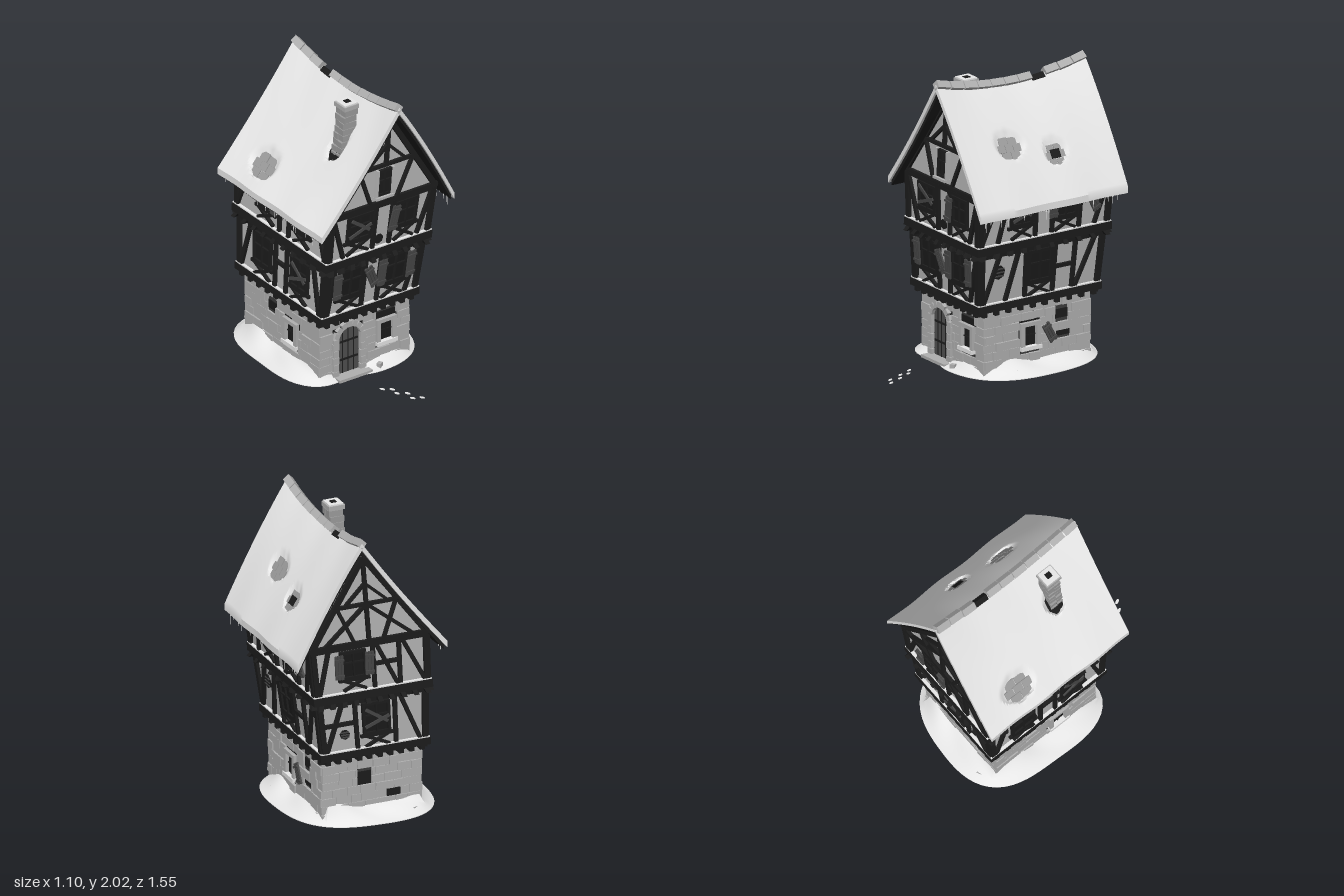
import * as THREE from 'three';
import { mergeGeometries, toCreasedNormals } from 'three/addons/utils/BufferGeometryUtils.js';

const mat = (name, color) => Object.assign(new THREE.MeshStandardMaterial({ color }), { name });
const M = {
  snow: mat('snow', 0xe9e9e9), plaster: mat('plaster', 0xb7b7b7), stone: mat('stone', 0xb0b0b0),
  timber: mat('timber', 0x1d1d1d), wood: mat('weathered wood', 0x484848), door: mat('door wood', 0x515151),
  dark: mat('dark opening', 0x1b1b1b), mortar: mat('mortar', 0x3c3c3c), tile: mat('roof tile', 0x9c9c9c),
};
let seed = 7;
const rnd = (a = 0, b = 1) => { seed = (seed * 16807) % 2147483647; return a + (b - a) * seed / 2147483647; };
const box = (w, h, d) => new THREE.BoxGeometry(w, h, d);
const ZC = -0.2, XC = -0.03;
const FLOORS = [{ hx: 0.341, hz: 0.402 }, { hx: 0.362, hz: 0.457 }, { hx: 0.395, hz: 0.498 }];
const SIDES = { front: 0, right: Math.PI / 2, back: Math.PI, left: -Math.PI / 2 };

// The upper storeys lean to one side and flare outwards
function warp(g) {
  const p = g.attributes.position;
  for (let i = 0; i < p.count; i++) {
    const y = p.getY(i), lean = Math.max(0, y - 0.5);
    let k = 1;
    if (y > 0.5 && y < 0.866) k += 0.05 * lean / 0.366;
    else if (y > 0.93) k += 0.03 * Math.min(1, (y - 0.93) / 0.32);
    p.setX(i, p.getX(i) * k + XC + 0.08 * lean);
    p.setZ(i, ZC + (p.getZ(i) - ZC) * k + 0.02 * Math.min(lean, 0.75));
  }
}

// Closed cross-sections joined in order
function loft(rings, flip, caps) {
  const m = rings[0].length, n = rings.length, idx = [];
  const tri = (a, b, c) => (flip ? idx.push(a, c, b) : idx.push(a, b, c));
  for (let i = 0; i < n - 1; i++) for (let j = 0; j < m; j++) {
    const a = i * m + j, b = i * m + (j + 1) % m, c = a + m, d = b + m;
    tri(a, c, b); tri(b, c, d);
  }
  if (caps) for (let j = 0; j < m / 2 - 1; j++) for (const o of [0, (n - 1) * m]) {
    const T = o + j, T2 = T + 1, B = o + m - 1 - j, B2 = B - 1;
    if (o) { tri(B, B2, T2); tri(B, T2, T); } else { tri(B, T2, B2); tri(B, T, T2); }
  }
  const g = new THREE.BufferGeometry();
  g.setAttribute('position', new THREE.Float32BufferAttribute(rings.flat(2), 3));
  g.setIndex(idx);
  return g;
}

export function createModel() {
  const parts = new Map();
  const put = (name, m, geo, bend = true) => {
    let g = geo.index ? geo.toNonIndexed() : geo;
    g.deleteAttribute('uv');
    if (bend) warp(g);
    g = toCreasedNormals(g, 0.5);
    if (!parts.has(name)) parts.set(name, { m, list: [] });
    parts.get(name).list.push(g);
  };
  // Places a piece on a wall: u along it, v up, d outwards
  const on = (name, m, geo, f, side, u, v, d, rot = 0) => {
    const dist = side === 'front' || side === 'back' ? FLOORS[f].hz : FLOORS[f].hx;
    geo.rotateZ(rot).translate(u, v, dist + d).rotateY(SIDES[side]).translate(0, 0, ZC);
    put(name, m, geo);
  };
  const beam = (f, side, u1, v1, u2, v2, w = 0.026) =>
    on('timberFrame', M.timber, box(w, Math.hypot(u2 - u1, v2 - v1), 0.026), f, side,
      (u1 + u2) / 2, (v1 + v2) / 2, 0.008, -Math.atan2(u2 - u1, v2 - v1));
  const shutter = (f, side, u, v, h = 0.18, rot = 0, w = 0.06) => {
    const c = Math.cos(rot), s = Math.sin(rot);
    for (const k of [-1, 0, 1]) on('shutters', M.wood, box(w / 3 - 0.003, h * rnd(0.93, 1.03), 0.012), f, side, u + k * w / 3 * c, v + k * w / 3 * s, 0.03, rot);
    for (const k of [-1, 1]) on('shutters', M.wood, box(w * 1.05, 0.014, 0.01), f, side, u - k * h * 0.33 * s, v + k * h * 0.33 * c, 0.039, rot);
  };
  const windowAt = (f, side, u, v, w, h, opt = '') => {
    on('windowPanes', M.dark, box(w, h, 0.008), f, side, u, v, 0.004);
    for (const k of [-1, 1]) {
      beam(f, side, u + k * w / 2, v - h / 2 - 0.01, u + k * w / 2, v + h / 2 + 0.01, 0.02);
      beam(f, side, u - w / 2, v + k * h / 2, u + w / 2, v + k * h / 2, 0.02);
    }
    beam(f, side, u, v - h / 2, u, v + h / 2, 0.01);
    beam(f, side, u - w / 2, v + h * 0.1, u + w / 2, v + h * 0.1, 0.01);
    if (opt.includes('l')) shutter(f, side, u - w / 2 - 0.025, v, h * 0.95, rnd(-0.08, 0.08));
    if (opt.includes('r')) shutter(f, side, u + w / 2 + 0.025, v, h * 0.95, rnd(-0.1, 0.05));
    if (opt.includes('p')) for (const r of [0.95, -1.2]) on('boards', M.wood, box(0.022, w * 1.05, 0.008), f, side, u, v + r * 0.02, 0.026, r);
    if (opt.includes('x')) {
      const b = f === 1 ? 0.51 : 0.94, t = v - h / 2 - 0.015;
      beam(f, side, u - w / 2, b, u + w / 2, t, 0.018); beam(f, side, u + w / 2, b, u - w / 2, t, 0.018);
      beam(f, side, u - w / 2 - 0.03, t, u + w / 2 + 0.03, t, 0.02);
    }
  };

  // Ground floor: dark core walls, courses of stone, openings [u, v, w, h]
  const holes = {
    front: [[-0.13, 0.2, 0.24, 0.42], [0.165, 0.25, 0.16, 0.23]],
    right: [[-0.06, 0.24, 0.16, 0.22], [0.19, 0.335, 0.1, 0.05], [0.2, 0.215, 0.11, 0.05]],
    back: [[-0.05, 0.26, 0.1, 0.1], [0.16, 0.13, 0.09, 0.05]],
    left: [[0.1, 0.24, 0.16, 0.22], [-0.12, 0.33, 0.09, 0.05]],
  };
  for (const side in SIDES) {
    const half = side === 'front' || side === 'back' ? FLOORS[0].hx : FLOORS[0].hz;
    on('wallCore', M.mortar, box(half * 2, 0.46, 0.02), 0, side, 0, 0.23, -0.01);
    for (const [u, v, w, h] of holes[side]) on('wallGaps', M.dark, box(w, h + 0.01, 0.006), 0, side, u, v, 0.003);
    for (let r = 0; r < 8; r++) {
      const v = 0.029 + r * 0.056, edge = half + 0.012;
      for (let a = -edge; a < edge - 0.001;) {
        let b = Math.min(edge, a + rnd(0.065, 0.13));
        if (edge - b < 0.04) b = edge;
        let pieces = [[a, b]];
        for (const [u, hv, w, h] of holes[side]) if (Math.abs(v - hv) < h / 2 + 0.012)
          pieces = pieces.flatMap(([p, q]) => [[p, Math.min(q, u - w / 2)], [Math.max(p, u + w / 2), q]]);
        for (const [p, q] of pieces) if (q - p > 0.015)
          on('stoneWalls', M.stone, box(q - p - 0.003, rnd(0.051, 0.056), 0.03), 0, side, (p + q) / 2, v, rnd(-0.005, 0.006), rnd(-0.025, 0.025));
        a = b;
      }
    }
  }
  put('cellarCeiling', M.dark, box(0.68, 0.01, 0.8).translate(0, 0.44, ZC));
  for (const [side, u] of [['front', 0.165], ['right', -0.06], ['left', 0.1]]) {
    for (const k of [-1, 1]) on('stoneWindowFrames', M.stone, box(0.03, 0.17, 0.04), 0, side, u + k * 0.062, 0.235, 0.012);
    on('stoneWindowFrames', M.stone, box(0.155, 0.026, 0.04), 0, side, u, 0.312, 0.012);
    on('windowSnow', M.snow, box(0.16, 0.026, 0.05), 0, side, u, 0.152, 0.015);
    for (const r of [0, Math.PI / 2]) on('windowBars', M.timber, box(0.008, 0.13, 0.01), 0, side, u, 0.235, 0.008, r);
  }
  shutter(0, 'right', 0.085, 0.23, 0.14, 0.5);

  // Arched door with its stone ring and step
  const arch = new THREE.Shape().moveTo(-0.085, 0).lineTo(0.085, 0).lineTo(0.085, 0.27).absarc(0, 0.27, 0.085, 0, Math.PI, false);
  on('door', M.door, new THREE.ExtrudeGeometry(arch, { depth: 0.01, bevelEnabled: false }), 0, 'front', -0.13, 0.01, 0);
  for (const k of [-0.043, 0, 0.043]) on('doorIronwork', M.timber, box(0.005, 0.34, 0.005), 0, 'front', -0.13 + k, 0.18, 0.011);
  for (const v of [0.12, 0.25]) on('doorIronwork', M.timber, box(0.15, 0.013, 0.006), 0, 'front', -0.13, v, 0.013);
  for (let i = 0; i < 9; i++) {
    const a = Math.PI * i / 8;
    on('doorArch', M.stone, box(0.04, 0.037, 0.045), 0, 'front', -0.13 + 0.105 * Math.cos(a), 0.27 + 0.105 * Math.sin(a), 0.012, a);
  }
  for (const k of [-1, 1]) {
    for (let i = 0; i < 5; i++)
      on('doorArch', M.stone, box(i % 2 ? 0.036 : 0.046, 0.048, 0.045), 0, 'front', -0.13 + k * 0.107, 0.03 + i * 0.051, 0.012);
    on('doorArch', M.stone, box(0.06, 0.06, 0.03), 0, 'front', -0.13 + k * 0.095, 0.392, 0.002);
  }
  on('doorstep', M.stone, box(0.26, 0.02, 0.09), 0, 'front', -0.12, 0.01, 0.045);

  // Upper storeys: plaster, bands, joist ends, corner posts
  [[1, 0.5, 0.864, 0.455, 0.505], [2, 0.931, 1.26, 0.87, 0.925]].forEach(([f, y0, y1, b0, b1]) => {
    const { hx, hz } = FLOORS[f];
    put('plasterWalls', M.plaster, box(hx * 2, y1 - y0, hz * 2).translate(0, (y0 + y1) / 2, ZC));
    put('floorBands', M.timber, box(hx * 2 + 0.05, b1 - b0, hz * 2 + 0.05).translate(0, (b0 + b1) / 2, ZC));
    put('bandSnow', M.snow, box(hx * 2 + 0.044, 0.008, hz * 2 + 0.044).translate(0, b1 + 0.004, ZC));
    for (const side in SIDES) {
      const half = side === 'front' || side === 'back' ? hx : hz;
      for (let i = 0; i < 10; i++) on('joistEnds', M.timber, box(0.032, 0.035, 0.06), f, side, (i / 4.5 - 1) * (half - 0.03), b0 - 0.012, -0.01);
      for (const k of [-1, 1]) beam(f, side, k * (half - 0.008), y0, k * (half - 0.008), y1, 0.036);
      beam(f, side, -half, y1 - 0.014, half, y1 - 0.014, 0.03);
    }
  });
  // Posts and braces per wall: [u1, v1, u2, v2]
  const lo = 0.505, hi = 0.86, l2 = 0.935, h2 = 1.25;
  const frames = [
    [1, 'front', [[-0.34, lo, -0.3, hi], [-0.07, lo, -0.07, hi], [0.05, lo, 0.05, hi], [0.27, lo, 0.34, hi]]],
    [1, 'right', [[-0.44, lo, -0.31, hi], [-0.27, lo, -0.17, hi], [-0.115, lo, -0.115, hi], [0.1, lo, 0.1, hi], [0.1, 0.68, 0.25, 0.68], [0.25, lo, 0.25, hi], [0.27, lo, 0.4, hi]]],
    [1, 'back', [[-0.34, lo, -0.2, hi], [-0.12, lo, -0.12, hi], [0.15, lo, 0.15, hi], [0.18, hi, 0.32, lo], [-0.34, 0.7, -0.12, 0.7]]],
    [1, 'left', [[-0.43, lo, -0.32, hi], [-0.06, lo, -0.06, hi], [0.06, lo, 0.06, hi], [0.33, hi, 0.43, lo], [-0.06, 0.7, 0.06, 0.7]]],
    [2, 'front', [[-0.38, h2, -0.28, l2], [-0.05, l2, -0.05, h2], [0.08, l2, 0.08, h2], [0.3, l2, 0.38, h2]]],
    [2, 'right', [[-0.49, l2, -0.36, h2], [-0.36, l2, -0.28, h2], [-0.07, l2, -0.07, h2], [0.06, l2, 0.06, h2], [0.27, l2, 0.27, h2], [0.39, l2, 0.48, h2]]],
    [2, 'back', [[-0.37, l2, -0.28, h2], [0.02, l2, 0.02, h2], [0.2, l2, 0.2, h2], [0.22, h2, 0.37, l2], [0.02, 1.1, 0.2, 1.1], [0.04, h2, 0.18, l2]]],
    [2, 'left', [[-0.48, l2, -0.36, h2], [-0.02, l2, -0.02, h2], [0.08, l2, 0.08, h2], [0.36, h2, 0.48, l2]]],
  ];
  for (const [f, side, list] of frames) for (const b of list) beam(f, side, ...b);
  const windows = [
    [1, 'front', -0.175, 0.72, 0.17, 0.2, 'lx'], [1, 'front', 0.165, 0.72, 0.17, 0.2, 'lrx'],
    [1, 'right', -0.01, 0.715, 0.17, 0.21, 'x'], [1, 'back', 0.02, 0.71, 0.17, 0.21, 'px'],
    [1, 'left', -0.2, 0.71, 0.17, 0.2, 'x'], [1, 'left', 0.2, 0.71, 0.17, 0.2, 'px'],
    [2, 'front', -0.17, 1.13, 0.17, 0.17, 'px'], [2, 'front', 0.19, 1.13, 0.15, 0.17, 'x'],
    [2, 'right', -0.18, 1.12, 0.15, 0.17, 'px'], [2, 'right', 0.16, 1.12, 0.16, 0.17, 'lx'],
    [2, 'back', -0.12, 1.12, 0.16, 0.18, 'lrx'], [2, 'left', -0.17, 1.12, 0.17, 0.17, 'rx'], [2, 'left', 0.22, 1.12, 0.16, 0.17, 'px'],
  ];
  for (const w of windows) windowAt(...w);
  shutter(1, 'front', -0.025, 0.72, 0.17, 0.45);
  shutter(2, 'front', 0.09, 1.12, 0.18, -0.12);
  shutter(2, 'right', 0.36, 1.1, 0.15, 0.5);
  for (const [f, side, u, v, r] of [[2, 'front', 0.0, 0.985, 0.035], [1, 'right', -0.32, 0.72, 0.05], [1, 'back', -0.2, 0.62, 0.035]]) {
    on('plasterHoles', M.dark, new THREE.CylinderGeometry(r, r, 0.008, 7).rotateX(Math.PI / 2), f, side, u, v, 0.004);
    if (f === 1) for (const k of [-0.5, 0, 0.5]) on('laths', M.wood, box(r * 1.6, 0.009, 0.006), f, side, u, v + k * r, 0.009);
  }

  // Gables
  for (const side of ['front', 'back']) {
    const tri = new THREE.Shape().moveTo(-0.4, 1.25).lineTo(0.4, 1.25).lineTo(0, 1.86);
    on('gables', M.plaster, new THREE.ExtrudeGeometry(tri, { depth: 0.02, bevelEnabled: false }), 2, side, 0, 0, -0.02);
    beam(2, side, -0.41, 1.262, 0.41, 1.262, 0.032);
    beam(2, side, -0.22, 1.53, 0.22, 1.53, 0.024);
    beam(2, side, 0, 1.53, 0, 1.85);
    for (const k of [-1, 1]) {
      beam(2, side, k * 0.4, 1.25, 0, 1.855, 0.034);
      beam(2, side, k * 0.14, 1.54, k * 0.005, 1.67, 0.02);
      beam(2, side, k * 0.2, 1.52, k * 0.1, 1.27, 0.022);
      if (side === 'back') beam(2, side, k * 0.3, 1.27, 0, 1.53, 0.024);
    }
    if (side === 'back') beam(2, side, 0, 1.27, 0, 1.53);
  }
  windowAt(2, 'front', -0.007, 1.405, 0.1, 0.17);
  for (const k of [-1, 1]) on('gableWindowFrame', M.plaster, box(0.016, 0.2, 0.03), 2, 'front', -0.007 + k * 0.058, 1.405, 0.014);
  on('gableWindowFrame', M.plaster, box(0.135, 0.018, 0.04), 2, 'front', -0.007, 1.305, 0.018);

  // Roof: sagging slabs of snow over a timber deck, dented at the holes [side, x, z, rx, rz]
  const dents = [[-1, -0.37, -0.42, 0.075, 0.135], [1, 0.383, -0.3, 0.05, 0.092], [1, 0.33, 0.025, 0.054, 0.115], [-1, -0.14, 0.07, 0.07, 0.078]];
  const ridgeY = z => 1.89 + 0.075 * ((z + 0.17) / 0.58) ** 2;
  const roofY = (s, x, z) => {
    const t = Math.abs(x - 0.09) / (s < 0 ? 0.59 : 0.46), top = ridgeY(z);
    return top + (1.19 - top) * t + (s < 0 ? -0.07 : 0.13) * t * (1 - t);
  };
  const slab = (s, o0, o1, inset, dent) => {
    const rings = [], nz = 80, nt = 44;
    for (let i = 0; i <= nz; i++) {
      const top = [], bottom = [];
      for (let j = 0; j <= nt; j++) {
        const t = j / nt, w = i / nz;
        const z0 = -0.75 + 0.02 * (1 - t) + inset, z1 = 0.4 + 0.035 * (1 - t) - inset, z = z0 + (z1 - z0) * w;
        const x0 = 0.09 + s * ((s < 0 ? 0.59 : 0.46) - inset) * t, x = x0 + s * 0.004 * Math.sin(z * 14) * t;
        const y = roofY(s, x0, z) + 0.003 * Math.sin(z * 17 + x0 * 9) * (1 - t);
        let d = 0;
        if (dent) for (const [ds, dx, dz, rx, rz] of dents) if (ds === s) {
          const q = Math.hypot((x - dx) / rx, (z - dz) / rz) + 0.05 * Math.sin(5 * Math.atan2(z - dz, x - dx));
          d = Math.max(d, 0.042 * Math.min(1, Math.max(0, (1.02 - q) / 0.3)));
        }
        top.push([x, y - o0 - d, z]); bottom.unshift([x, y - o1, z]);
      }
      rings.push([...top, ...bottom]);
    }
    return loft(rings, s < 0, true);
  };
  for (const s of [-1, 1]) {
    put('roofSnow', M.snow, slab(s, 0, 0.046, 0, true), false);
    put('roofDeck', M.timber, slab(s, 0.047, 0.08, 0.015, false), false);
  }
  // Bare tiles and a dark gap inside the holes
  dents.slice(0, 3).forEach(([s, x, z, rx, rz], n) => {
    const ang = -s * Math.atan2(0.75, s < 0 ? 0.59 : 0.46), run = rx * 0.5 / Math.cos(ang);
    const plate = (name, m, px, pz, w, l, lift) => put(name, m, box(w, 0.008, l).rotateZ(ang).translate(px, roofY(s, px, pz) - 0.037 + lift, pz), false);
    for (let i = -1; i <= 1; i++) {
      const reach = rz * (i ? 0.6 : 0.78), count = i ? 2 : 3;
      for (let j = 0; j < count; j++)
        plate('bareTiles', M.tile, x + i * rx * 0.5, z + reach * ((2 * j + 1) / count - 1), run, reach * 2 / count - 0.004, rnd(0, 0.008));
    }
    if (n === 1) plate('roofGap', M.dark, x, z, 0.06, 0.07, 0.012);
  });
  // Ridge tiles, one missing
  for (let i = 0; i < 11; i++) {
    const z = 0.382 - i * 0.1058, gone = i === 7, e = gone ? 0.04 : 0.05;
    const g = box(e, e, 0.1).rotateZ(Math.PI / 4).rotateX(-Math.atan(0.446 * (z + 0.17)));
    put(gone ? 'ridgeBeam' : 'ridgeTiles', gone ? M.dark : M.stone, g.translate(0.088 + rnd(-0.004, 0.004), ridgeY(z) - (gone ? 0.022 : 0), z), false);
  }

  // Crooked chimney
  put('chimneyGap', M.dark, box(0.17, 0.008, 0.11).rotateZ(0.9).translate(-0.14, roofY(-1, -0.14, 0.07) - 0.036, 0.07), false);
  for (let i = 0; i < 9; i++) {
    const x = -0.135 + 0.06 * (i / 8) ** 0.5;
    for (const j of [-1, 1]) put('chimney', M.tile, box(0.1, 0.041, 0.049).rotateY(rnd(-0.05, 0.05)).translate(x + rnd(-0.004, 0.004), 1.5 + i * 0.044, 0.08 + j * 0.025), false);
  }
  put('chimneyCap', M.stone, box(0.114, 0.03, 0.118).translate(-0.075, 1.893, 0.08), false);
  put('chimneySnow', M.snow, box(0.1, 0.01, 0.104).translate(-0.075, 1.912, 0.08), false);
  put('chimneyFlue', M.dark, box(0.04, 0.006, 0.04).translate(-0.072, 1.917, 0.08), false);

  // Icicles along the eaves
  for (const x of [-0.475, 0.53]) for (let i = 0; i < 16; i++) {
    const h = rnd(0.03, 0.11);
    put('icicles', M.snow, new THREE.ConeGeometry(0.006, h, 5).rotateX(Math.PI).translate(x, 1.165 - h / 2, rnd(-0.72, 0.37)), false);
  }

  // Snow drift round the walls, low at the door
  const drift = [], N = 72;
  for (let i = 0; i <= N; i++) {
    const a = (i % N) / N * Math.PI * 2, c = Math.cos(a), s = Math.sin(a);
    const door = Math.exp(-(((a - 1.86) / 0.28) ** 2));
    const sup = 1 / (Math.abs(c) ** 2.9 + Math.abs(s) ** 2.9) ** (1 / 2.9);
    const ro = sup * (1 + 0.025 * Math.sin(3 * a + 1)) * (1 - 0.12 * door), ri = Math.min(0.31 / (Math.abs(c) + 1e-6), 0.37 / (Math.abs(s) + 1e-6));
    const H = (0.125 + 0.035 * Math.sin(4 * a - 1.2)) * (1 - door);
    const ring = [];
    for (let j = 0; j <= 8; j++) {
      const t = j / 8, x = c * (ri * (1 - t) + 0.51 * ro * t), z = s * (ri * (1 - t) + 0.55 * ro * t);
      ring.push([x - 0.04, 0.004 + H * (1 - t) ** 1.2 * (0.9 + 0.1 * Math.cos(8 * a + t * 5)), z - 0.22]);
    }
    ring.push([c * 0.51 * ro - 0.04, 0, s * 0.55 * ro - 0.22], [c * ri - 0.04, 0, s * ri - 0.22]);
    drift.push(ring);
  }
  put('snowDrift', M.snow, loft(drift, false, false), false);
  for (const [x, z] of [[0.38, 0.0], [0.05, 0.27], [-0.3, -0.68]])
    put('fallenStones', M.stone, box(0.035, 0.03, 0.03).rotateY(x * 9).translate(x, 0.025, z), false);

  // Footprints leading to the door
  for (const [x, z] of [[-0.1, 0.51], [-0.05, 0.55], [-0.055, 0.61], [0, 0.65], [-0.01, 0.72], [0.045, 0.75]])
    put('footprints', M.snow, new THREE.CylinderGeometry(0.02, 0.02, 0.004, 10).scale(0.5, 1, 1).rotateY(0.45).translate(x, 0.002, z), false);

  const group = new THREE.Group();
  group.name = 'crookedHouse';
  for (const [name, { m, list }] of parts) {
    const mesh = new THREE.Mesh(mergeGeometries(list), m);
    mesh.name = name;
    group.add(mesh);
  }
  return group;
}
